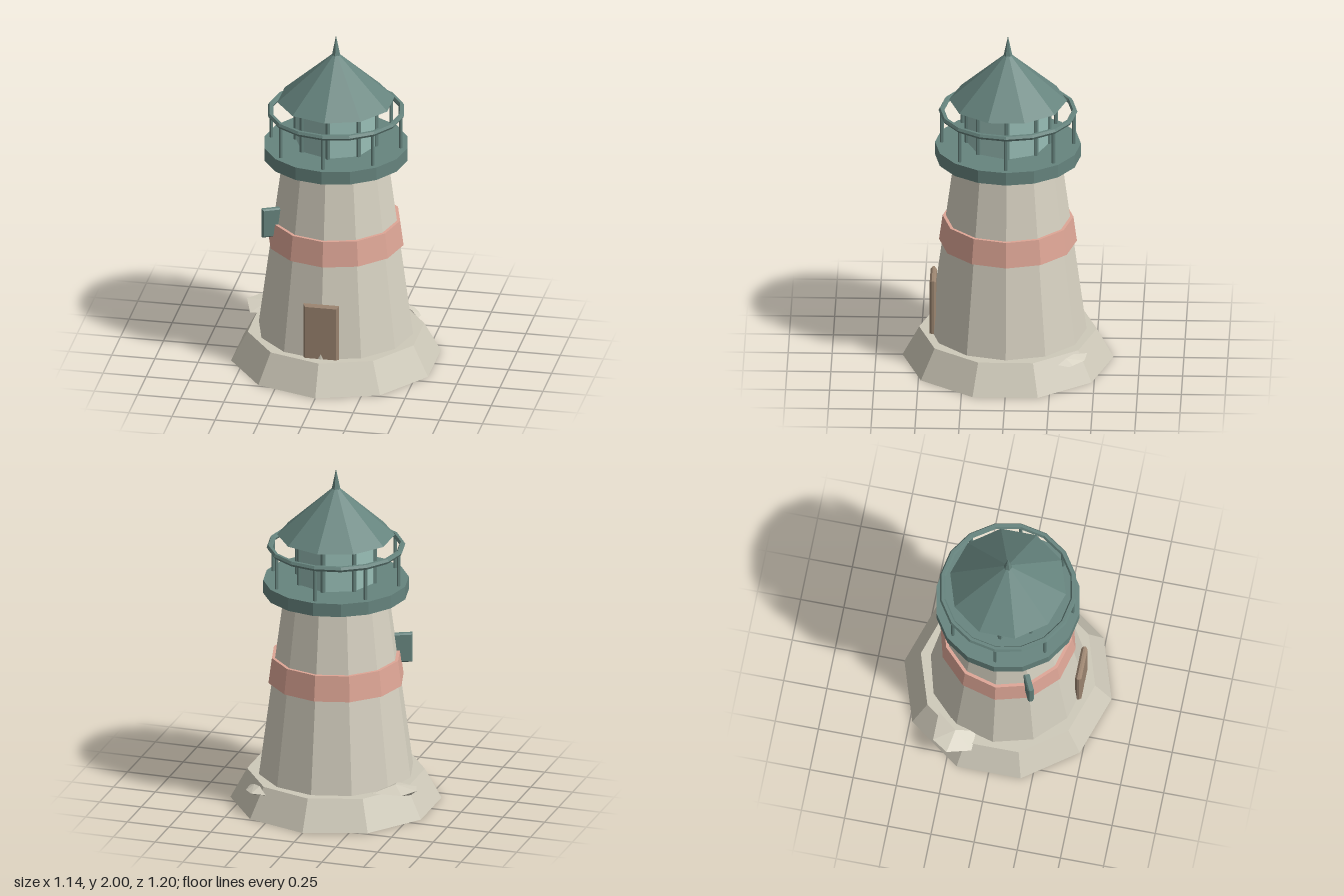
import * as THREE from 'three';
import { ConvexGeometry } from 'three/addons/geometries/ConvexGeometry.js';

const material = (name, color) => {
  const m = new THREE.MeshStandardMaterial({ color });
  m.name = name;
  return m;
};

// Faceted geometry: every face gets its own normal
const faceted = (geometry) => {
  const g = geometry.index ? geometry.toNonIndexed() : geometry;
  g.computeVertexNormals();
  return g;
};

// Tapered prism standing between two heights
const prism = (rTop, rBottom, y0, y1, sides) =>
  new THREE.CylinderGeometry(rTop, rBottom, y1 - y0, sides).translate(0, (y0 + y1) / 2, 0);

// Upright plate with chamfered edges, centred on the origin
const plate = (w, h, d, bevel) => {
  const x = w / 2 - bevel, y = h / 2 - bevel;
  const shape = new THREE.Shape([[-x, -y], [x, -y], [x, y], [-x, y]].map((p) => new THREE.Vector2(...p)));
  return new THREE.ExtrudeGeometry(shape, {
    depth: d - 2 * bevel, bevelThickness: bevel, bevelSize: bevel, bevelSegments: 1,
  }).translate(0, 0, bevel - d / 2);
};

export function createModel() {
  const model = new THREE.Group();
  model.name = 'lighthouse';

  const stone = material('stone', 0xcec9b9);
  const plaster = material('plaster', 0xd6d1c1);
  const coral = material('coral', 0xdea696);
  const trim = material('greenTrim', 0x66847e);
  const glass = material('glass', 0x98beb6);
  const wood = material('wood', 0x9c8570);

  const add = (name, geometry, mat, parent = model) => {
    const mesh = new THREE.Mesh(faceted(geometry), mat);
    mesh.name = name;
    parent.add(mesh);
    return mesh;
  };

  // Base, tower and painted band
  add('base', prism(0.505, 0.6, 0, 0.175, 10), stone);
  add('tower', prism(0.302, 0.447, 0.175, 1.26, 12), plaster);
  add('band', prism(0.372, 0.392, 0.725, 0.875, 12), coral);

  // Door and shutter
  add('door', plate(0.205, 0.345, 0.036, 0.012), wood).position.set(0, 0.333, 0.425);
  const shutter = add('shutter', plate(0.14, 0.175, 0.035, 0.008), trim);
  shutter.position.set(-0.325, 0.887, 0.18);
  shutter.rotation.y = 0.45;

  // Gallery with railing
  add('gallery', prism(0.415, 0.415, 1.255, 1.333, 16), trim);
  const railing = new THREE.Group();
  railing.name = 'railing';
  model.add(railing);
  add('rail', new THREE.TorusGeometry(0.378, 0.017, 6, 16).rotateX(Math.PI / 2).translate(0, 1.532, 0), trim, railing);

  // Lantern room: glass with a bar at each corner, and a railing post on each bearing
  add('lanternGlass', prism(0.232, 0.232, 1.33, 1.605, 8), glass);
  const bars = new THREE.Group();
  bars.name = 'lanternBars';
  model.add(bars);
  for (let i = 0; i < 8; i++) {
    const a = (i * Math.PI) / 4, s = Math.sin(a), c = Math.cos(a);
    add('railingPost', prism(0.011, 0.011, 1.33, 1.53, 6).translate(0.376 * s, 0, 0.376 * c), trim, railing);
    add('lanternBar', prism(0.014, 0.014, 1.33, 1.605, 6).translate(0.232 * s, 0, 0.232 * c), trim, bars);
  }

  // Roof and spire
  add('roof', new THREE.ConeGeometry(0.335, 0.302, 10).translate(0, 1.751, 0), trim);
  add('spire', new THREE.ConeGeometry(0.026, 0.125, 6).translate(0, 1.9375, 0), trim);

  // Rocks lodged in the base
  const rocks = {
    sideRock: [
      [-0.565, 0.195, -0.245], [-0.505, 0.19, -0.335], [-0.33, 0.185, -0.335], [-0.52, 0.17, -0.11],
      [-0.4, 0.18, -0.105], [-0.43, 0.21, -0.22], [-0.515, 0.148, -0.2], [-0.4, 0.15, -0.24],
    ],
    backRock: [
      [0.268, 0.145, -0.458], [0.36, 0.14, -0.445], [0.41, 0.13, -0.38], [0.42, 0.125, -0.36],
      [0.415, 0.135, -0.297], [0.33, 0.165, -0.38], [0.375, 0.158, -0.34], [0.36, 0.11, -0.385],
    ],
  };
  for (const [name, points] of Object.entries(rocks)) {
    add(name, new ConvexGeometry(points.map((p) => new THREE.Vector3(...p))), plaster);
  }

  return model;
}
